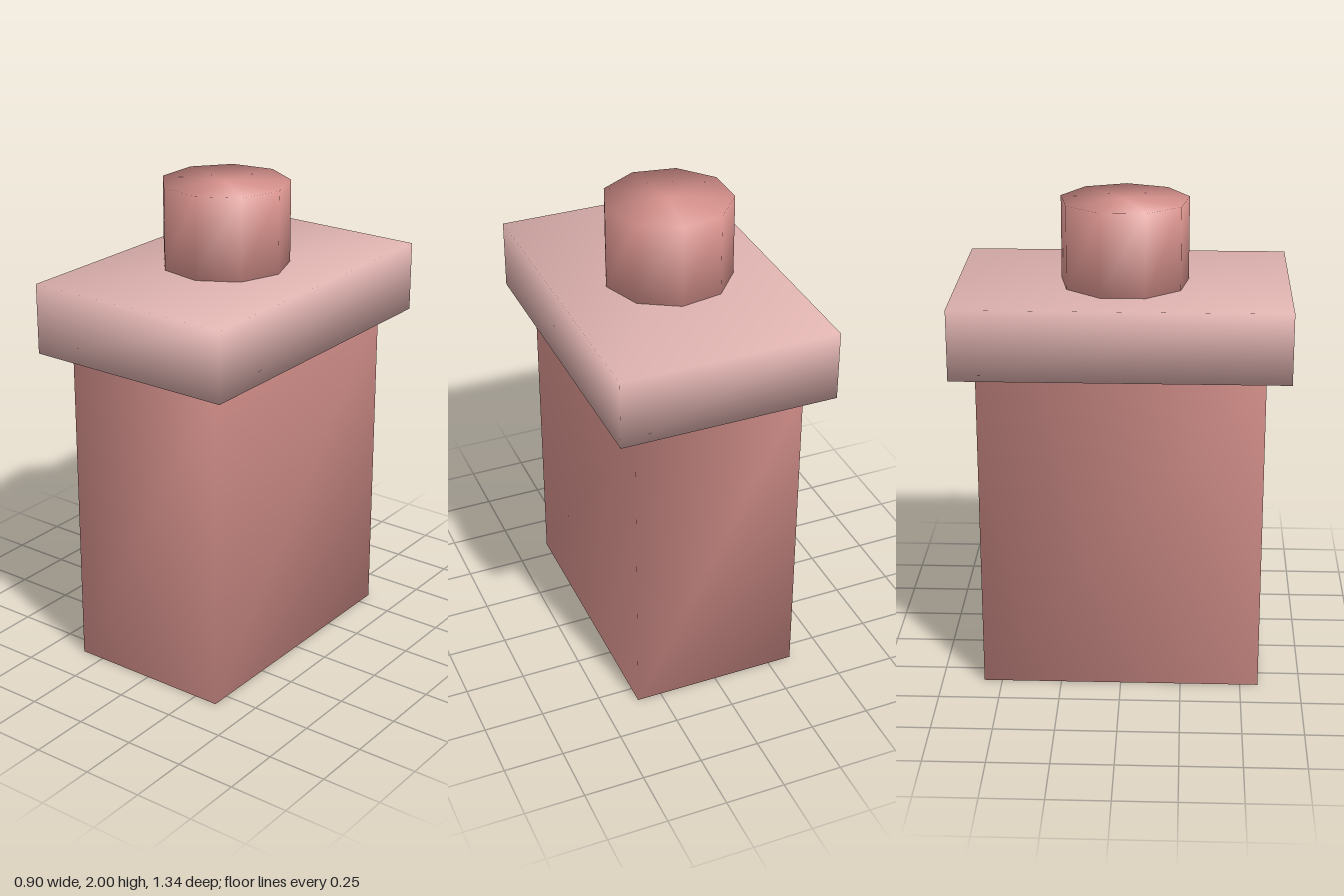
import * as THREE from 'three';
import { mergeVertices } from 'three/addons/utils/BufferGeometryUtils.js';

// Share corner vertices so the shading flows smoothly over every edge
function softened(geometry) {
  geometry.deleteAttribute('normal');
  geometry.deleteAttribute('uv');
  const merged = mergeVertices(geometry, 1e-4);
  merged.computeVertexNormals();
  return merged;
}

export function createModel() {
  const rose = new THREE.MeshStandardMaterial({ color: 0xd9938e });
  rose.name = 'rose';
  const palePink = new THREE.MeshStandardMaterial({ color: 0xdfb3b0 });
  palePink.name = 'palePink';

  const model = new THREE.Group();
  model.name = 'steppedBlock';

  function add(name, geometry, material, x, y, z) {
    const mesh = new THREE.Mesh(geometry, material);
    mesh.name = name;
    mesh.position.set(x, y, z);
    model.add(mesh);
  }

  // Tall body: rose sides, pale underside, top left open under the collar
  const box = new THREE.BoxGeometry(0.705, 1.37, 1.15);
  const index = Array.from(box.index.array);
  index.splice(12, 6);
  box.setIndex(index);
  box.clearGroups();
  box.addGroup(0, 12, 0);
  box.addGroup(12, 6, 1);
  box.addGroup(18, 12, 0);
  add('body', softened(box), [rose, palePink], 0, 0.685, 0);

  // Wide collar slab
  add('collar', softened(new THREE.BoxGeometry(0.898, 0.29, 1.342)), palePink, 0, 1.515, 0);

  // Nine-sided post with one corner pointing to +x
  const post = new THREE.CylinderGeometry(0.263, 0.263, 0.34, 9);
  post.rotateY(Math.PI / 2);
  add('post', softened(post), rose, -0.022, 1.83, 0.005);

  return model;
}
